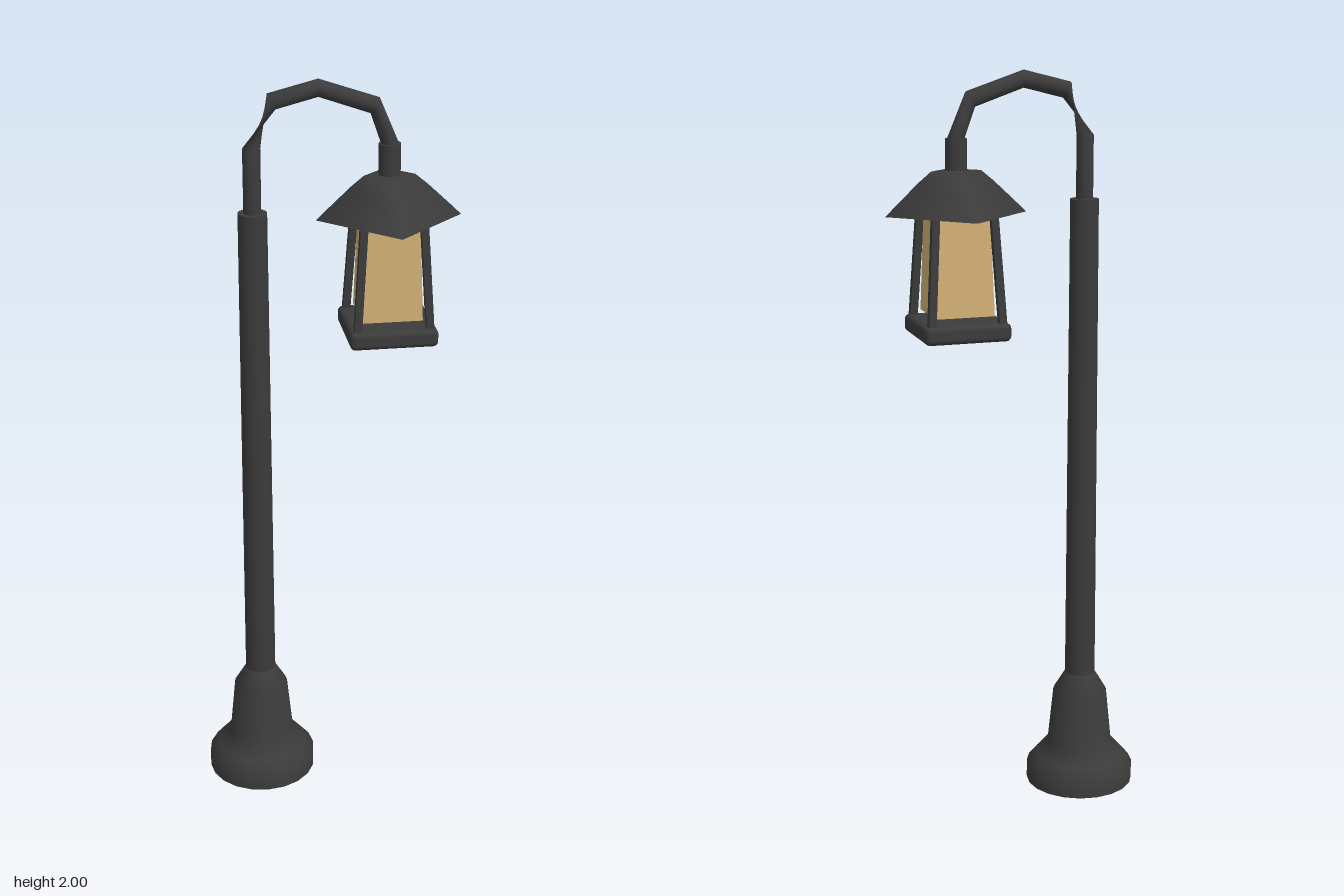
import * as THREE from 'three';
import { RoundedBoxGeometry } from 'three/addons/geometries/RoundedBoxGeometry.js';

const POLE_X = -0.2;
const LAMP_X = 0.153;

const iron = new THREE.MeshStandardMaterial({ color: 0x3b3b3b });
iron.name = 'darkIron';
const amber = new THREE.MeshStandardMaterial({ color: 0xd2b075 });
amber.name = 'amberGlass';

function add(parent, name, geometry, material, x, y, z = 0) {
  const mesh = new THREE.Mesh(geometry, material);
  mesh.name = name;
  mesh.position.set(x, y, z);
  parent.add(mesh);
  return mesh;
}

function lathe(points, sides) {
  return new THREE.LatheGeometry(points.map(([r, y]) => new THREE.Vector2(r, y)), sides);
}

// Bent pipe through rings of [x, y, heading in degrees, twist]
function pipe(rings, radius, sides) {
  const positions = [];
  const index = [];
  rings.forEach(([x, y, heading, twist], i) => {
    const h = THREE.MathUtils.degToRad(heading);
    for (let j = 0; j < sides; j++) {
      const a = (j / sides) * Math.PI * 2 + twist;
      const n = radius * Math.cos(a);
      positions.push(x - Math.sin(h) * n, y + Math.cos(h) * n, radius * Math.sin(a));
      if (i === rings.length - 1) continue;
      const p = i * sides + j;
      const q = i * sides + ((j + 1) % sides);
      index.push(p, q, p + sides, q, q + sides, p + sides);
    }
  });
  const geometry = new THREE.BufferGeometry();
  geometry.setAttribute('position', new THREE.Float32BufferAttribute(positions, 3));
  geometry.setIndex(index);
  geometry.computeVertexNormals();
  return geometry;
}

// Square bar between two points
function bar(parent, name, from, to, width) {
  const dir = to.clone().sub(from);
  const mid = from.clone().add(to).multiplyScalar(0.5);
  const mesh = add(parent, name, new THREE.BoxGeometry(width, dir.length(), width), iron, mid.x, mid.y, mid.z);
  mesh.quaternion.setFromUnitVectors(new THREE.Vector3(0, 1, 0), dir.normalize());
}

export function createModel() {
  const model = new THREE.Group();
  model.name = 'streetLamp';

  // Flared foot and its underside
  add(model, 'foot', lathe([[0.15, 0], [0.15, 0.05], [0.125, 0.08], [0.09, 0.12], [0.075, 0.27], [0.042, 0.325]], 20), iron, POLE_X, 0);
  add(model, 'footUnderside', new THREE.CircleGeometry(0.15, 20).rotateX(Math.PI / 2), iron, POLE_X, 0);

  // Slightly tapered pole
  add(model, 'pole', new THREE.CylinderGeometry(0.038, 0.042, 1.345, 20), iron, POLE_X, 0.99);

  // Curved arm, with a half twist above its first straight length
  add(model, 'arm', pipe([
    [POLE_X, 1.64, 90, Math.PI],
    [POLE_X, 1.83, 90, Math.PI],
    [-0.148, 1.947, 27, 0],
    [-0.03, 1.977, 0, 0],
    [0.114, 1.928, -30, 0],
    [LAMP_X, 1.83, -90, 0],
    [LAMP_X, 1.78, -90, 0],
  ], 0.023, 12), iron, 0, 0);

  const lantern = new THREE.Group();
  lantern.name = 'lantern';
  lantern.position.x = LAMP_X;
  model.add(lantern);

  // Collar that holds the roof
  add(lantern, 'collar', new THREE.CylinderGeometry(0.029, 0.029, 0.09, 12), iron, 0, 1.785);

  // Four-sided roof with its corners on the axes
  add(lantern, 'roof', lathe([[0.19, 1.635], [0.16, 1.664], [0.1, 1.72], [0.067, 1.747], [0, 1.752]], 4), iron, 0, 0);
  add(lantern, 'roofUnderside', new THREE.CircleGeometry(0.19, 4).rotateX(Math.PI / 2), iron, 0, 1.635);

  // Tapered glass box
  const glass = new THREE.CylinderGeometry(0.07 * Math.SQRT2, 0.079 * Math.SQRT2, 0.262, 4).toNonIndexed();
  glass.rotateY(Math.PI / 4);
  glass.computeVertexNormals();
  add(lantern, 'glass', glass, amber, 0, 1.507);

  // Leaning corner posts
  for (const sx of [-1, 1]) {
    for (const sz of [-1, 1]) {
      bar(lantern, 'cornerPost',
        new THREE.Vector3(sx * 0.096, 1.345, sz * 0.096),
        new THREE.Vector3(sx * 0.077, 1.65, sz * 0.077), 0.02);
    }
  }

  // Floor slab
  add(lantern, 'floor', new RoundedBoxGeometry(0.232, 0.048, 0.232, 3, 0.014), iron, 0, 1.337);

  return model;
}
